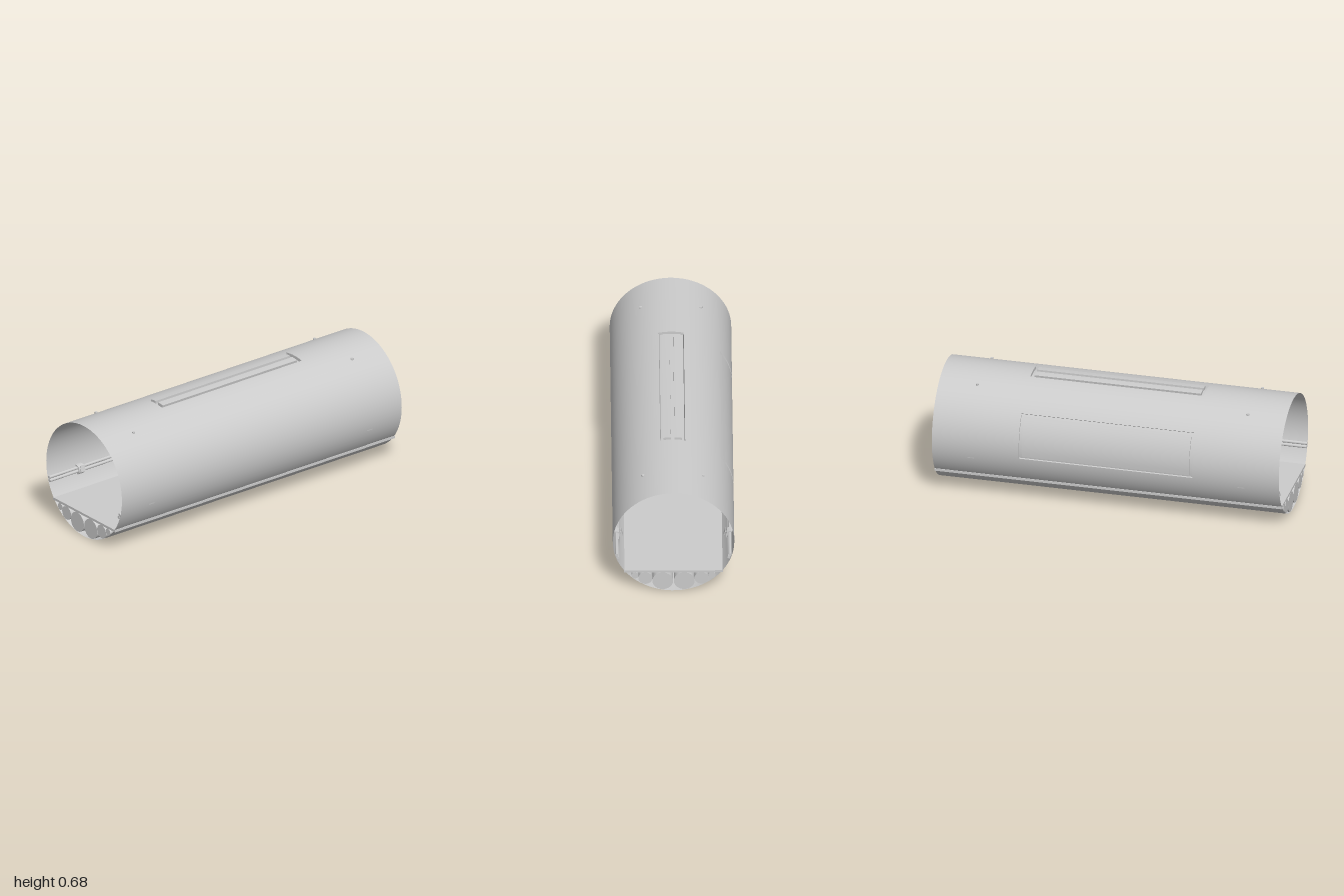
import * as THREE from 'three';
import { ParametricGeometry } from 'three/addons/geometries/ParametricGeometry.js';
import { toCreasedNormals } from 'three/addons/utils/BufferGeometryUtils.js';

const R = 0.34, CY = 0.34; // hull radius and axis height
const mat = new THREE.MeshStandardMaterial({ color: 0xcccccc });
const thin = new THREE.MeshStandardMaterial({ color: 0xcccccc, side: THREE.DoubleSide });

// Point on the hull: angle a runs from the top towards +z
const polar = (r, a) => [r * Math.sin(a), CY + r * Math.cos(a)];
const lerp = THREE.MathUtils.lerp;

export function createModel() {
  const root = new THREE.Group();

  const add = (name, geometry, material = mat, parent = root) => {
    const mesh = new THREE.Mesh(geometry, material);
    mesh.name = name;
    parent.add(mesh);
    return mesh;
  };

  // Thin sheet swept through ranges of x, angle and radius
  const sheet = (name, at, nu, nv) => add(name, new ParametricGeometry((u, v, p) => {
    const [x, a, r] = at(u, v);
    const [z, y] = polar(r, a);
    p.set(x, y, z);
  }, nu, nv), thin);
  const steps = (a0, a1) => Math.max(2, Math.round((a1 - a0) / 0.08));

  // Solid with a (z, y) outline, running along x
  const prism = (name, points, x0, x1, parent) => {
    const shape = new THREE.Shape(points.map(([z, y]) => new THREE.Vector2(-z, y)));
    const g = new THREE.ExtrudeGeometry(shape, { depth: x1 - x0, bevelEnabled: false });
    g.rotateY(Math.PI / 2).translate(x0, 0, 0);
    return add(name, toCreasedNormals(g, 0.5), mat, parent);
  };

  // Curved slab following the hull
  const slab = (name, r0, r1, a0, a1, x0, x1) => {
    const n = steps(a0, a1), pts = [];
    for (let i = 0; i <= n; i++) pts.push(polar(r1, lerp(a0, a1, i / n)));
    for (let i = n; i >= 0; i--) pts.push(polar(r0, lerp(a0, a1, i / n)));
    prism(name, pts, x0, x1);
  };

  const rod = (name, r, y, z, sides, parent) => {
    const m = add(name, new THREE.CylinderGeometry(r, r, 2, sides), mat, parent);
    m.rotation.z = Math.PI / 2;
    m.position.set(0, y, z);
  };

  // Hull skin, split around the roof window and the rear hatch
  const hatch = [-1.72, -0.937], roof = [-0.207, 0.207];
  const cuts = [...hatch, ...roof, hatch[0] + Math.PI * 2];
  const xs = [-1, -0.5, 0.5, 1];
  for (let i = 0; i < 4; i++) for (let j = 0; j < 3; j++) {
    if (j === 1 && i % 2 === 0) continue;
    sheet('hullSkin', (u, v) => [lerp(xs[j], xs[j + 1], v), lerp(cuts[i], cuts[i + 1], u), R],
      steps(cuts[i], cuts[i + 1]), 1);
  }

  // Recessed pockets with walls and a floor
  for (const [name, [a0, a1], depth] of [['hatch', hatch, 0.01], ['roofWindow', roof, 0.018]]) {
    const n = steps(a0, a1), r0 = R - depth;
    sheet(name + 'Recess', (u, v) => [lerp(-0.5, 0.5, v), lerp(a0, a1, u), r0], n, 1);
    for (const x of [-0.5, 0.5])
      sheet(name + 'EndWall', (u, v) => [x, lerp(a0, a1, u), lerp(r0, R, v)], n, 1);
    for (const a of [a0, a1])
      sheet(name + 'SideWall', (u, v) => [lerp(-0.5, 0.5, u), a, lerp(r0, R, v)], 1, 1);
  }
  slab('hatchPanel', R - 0.009, R, hatch[0] + 0.045, hatch[1] - 0.045, -0.482, 0.482);
  slab('roofPane', R - 0.017, R, -0.158, -0.032, -0.48, 0.48);
  slab('roofPane', R - 0.017, R, 0.032, 0.158, -0.48, 0.48);

  // Floor deck, slightly wider than the hull
  add('floorDeck', new THREE.BoxGeometry(2, 0.014, 0.556)).position.y = 0.132;

  for (const s of [1, -1]) {
    // Ducts under the floor
    for (const [z, y, r] of [[0.06, 0.067, 0.058], [0.157, 0.086, 0.0395], [0.215, 0.105, 0.02]])
      rod('underfloorDuct', r, y, s * z, 48);

    // Overhead grab rail with ends turned up into the roof
    const rail = new THREE.CurvePath(), z = s * 0.168, y = 0.58, e = 0.78, b = 0.03;
    const P = (x, py) => new THREE.Vector3(x, py, z);
    rail.add(new THREE.LineCurve3(P(-e, 0.636), P(-e, y + b)));
    rail.add(new THREE.QuadraticBezierCurve3(P(-e, y + b), P(-e, y), P(-e + b, y)));
    rail.add(new THREE.LineCurve3(P(-e + b, y), P(e - b, y)));
    rail.add(new THREE.QuadraticBezierCurve3(P(e - b, y), P(e, y), P(e, y + b)));
    rail.add(new THREE.LineCurve3(P(e, y + b), P(e, 0.636)));
    add('grabRail', new THREE.TubeGeometry(rail, 300, 0.007, 10));
    for (const x of [-e, e])
      add('railCap', new THREE.CylinderGeometry(0.008, 0.008, 0.01, 16)).position.set(x, 0.638, z);

    // Pair of pipes along each wall
    rod('wallPipe', 0.009, 0.248, s * 0.317, 16);
    rod('wallPipe', 0.009, 0.23, s * 0.311, 16);

    // Clips that hold the pipes, each with a T-shaped latch
    for (const x of [-e, e]) {
      const clip = new THREE.Group();
      clip.name = 'pipeClip';
      root.add(clip);
      const outline = [[0.33, 0.256], [0.331, 0.264], [0.316, 0.264], [0.302, 0.257], [0.295, 0.243],
        [0.295, 0.226], [0.301, 0.215], [0.312, 0.208], [0.315, 0.216], [0.304, 0.226],
        [0.303, 0.241], [0.309, 0.254]];
      const side = pts => pts.map(([pz, py]) => [s * pz, py]);
      prism('clipBody', side(outline), x - 0.02, x + 0.02, clip);
      prism('latchPlate', side([[0.292, 0.266], [0.295, 0.265], [0.285, 0.23], [0.282, 0.231]]), x - 0.015, x + 0.015, clip);
      prism('latchStem', side([[0.289, 0.25], [0.288, 0.246], [0.302, 0.241], [0.303, 0.245]]), x - 0.006, x + 0.006, clip);
    }
  }
  return root;
}
